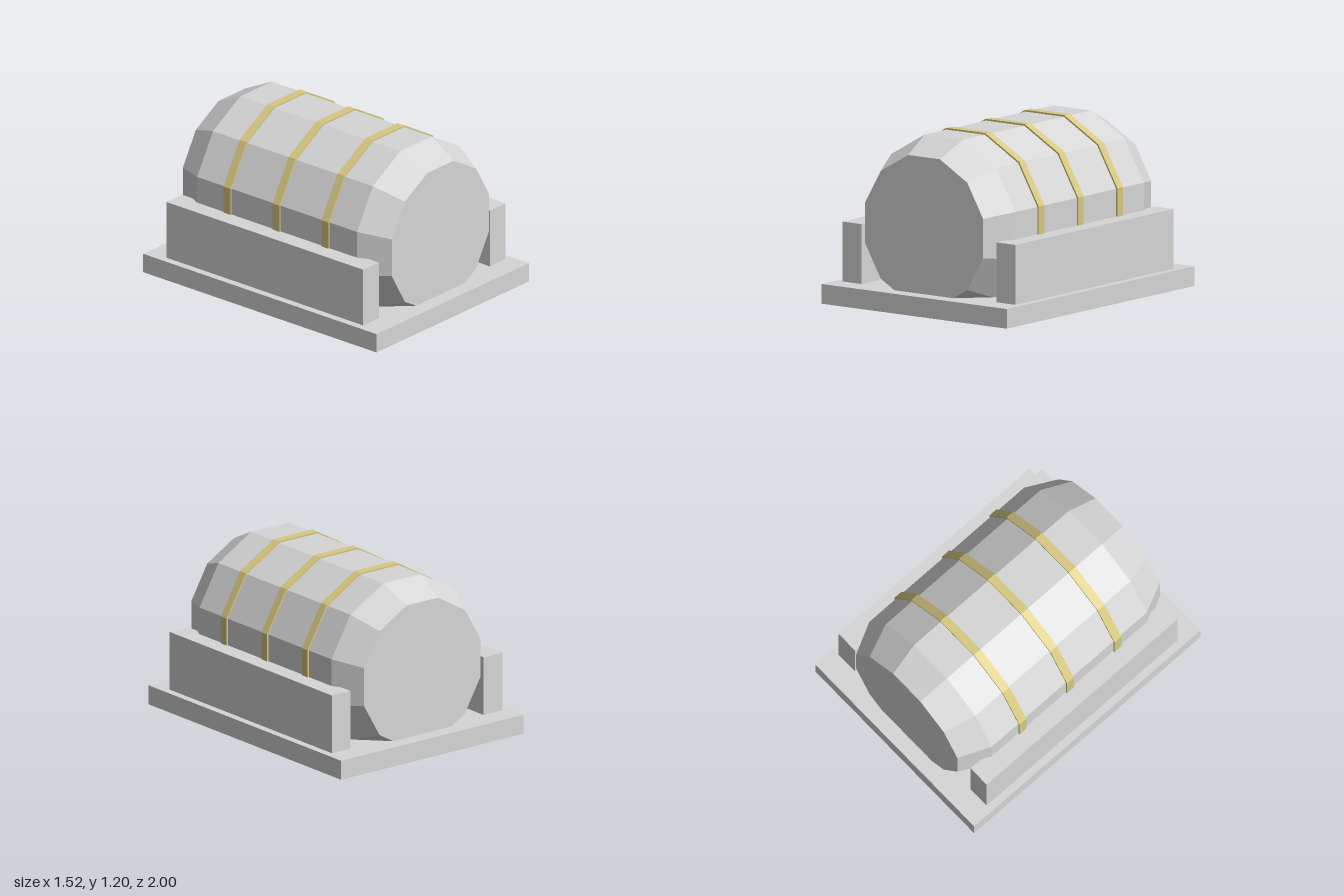
import * as THREE from 'three';

const SIDES = 12;
const AXIS_Y = 0.6;

export function createModel() {
  const model = new THREE.Group();
  model.name = 'cradledTank';

  const grey = new THREE.MeshStandardMaterial({ color: 0xd6d6d6, flatShading: true, side: THREE.DoubleSide });
  grey.name = 'light grey';
  const gold = new THREE.MeshStandardMaterial({ color: 0xd6c882, flatShading: true, side: THREE.DoubleSide });
  gold.name = 'pale gold';

  const add = (name, geometry, material, x, y, z) => {
    const mesh = new THREE.Mesh(geometry, material);
    mesh.name = name;
    mesh.position.set(x, y, z);
    model.add(mesh);
    return mesh;
  };

  // Twelve-sided solid along z, with a flat at the top; profile is [apothem, z]
  const turned = (profile) => {
    const k = 1 / Math.cos(Math.PI / SIDES);
    const points = profile.map(([r, z]) => new THREE.Vector2(r * k, z));
    return new THREE.LatheGeometry(points, SIDES, Math.PI / SIDES).rotateX(Math.PI / 2);
  };

  // Tank body with tapered ends
  add('tank', turned([[0, -0.895], [0.485, -0.895], [0.587, -0.685],
    [0.587, 0.685], [0.485, 0.895], [0, 0.895]]), grey, 0, AXIS_Y, 0);

  // Three hoops around the tank
  for (const z of [-0.42, 0, 0.42]) {
    add('hoop', turned([[0.58, -0.03], [0.598, -0.03], [0.598, 0.03], [0.58, 0.03]]), gold, 0, AXIS_Y, z);
  }

  // Base tray, open underneath (the downward face of the box is left out)
  const tray = new THREE.BoxGeometry(1.52, 0.13, 2);
  const index = Array.from(tray.index.array);
  index.splice(18, 6);
  tray.setIndex(index);
  tray.clearGroups();
  add('baseTray', tray, grey, 0, 0.115, 0);

  // Side rails holding the tank
  for (const side of [-1, 1]) {
    add(side > 0 ? 'leftRail' : 'rightRail', new THREE.BoxGeometry(0.155, 0.395, 1.685), grey,
      side * 0.6315, 0.3775, 0);
  }

  return model;
}
